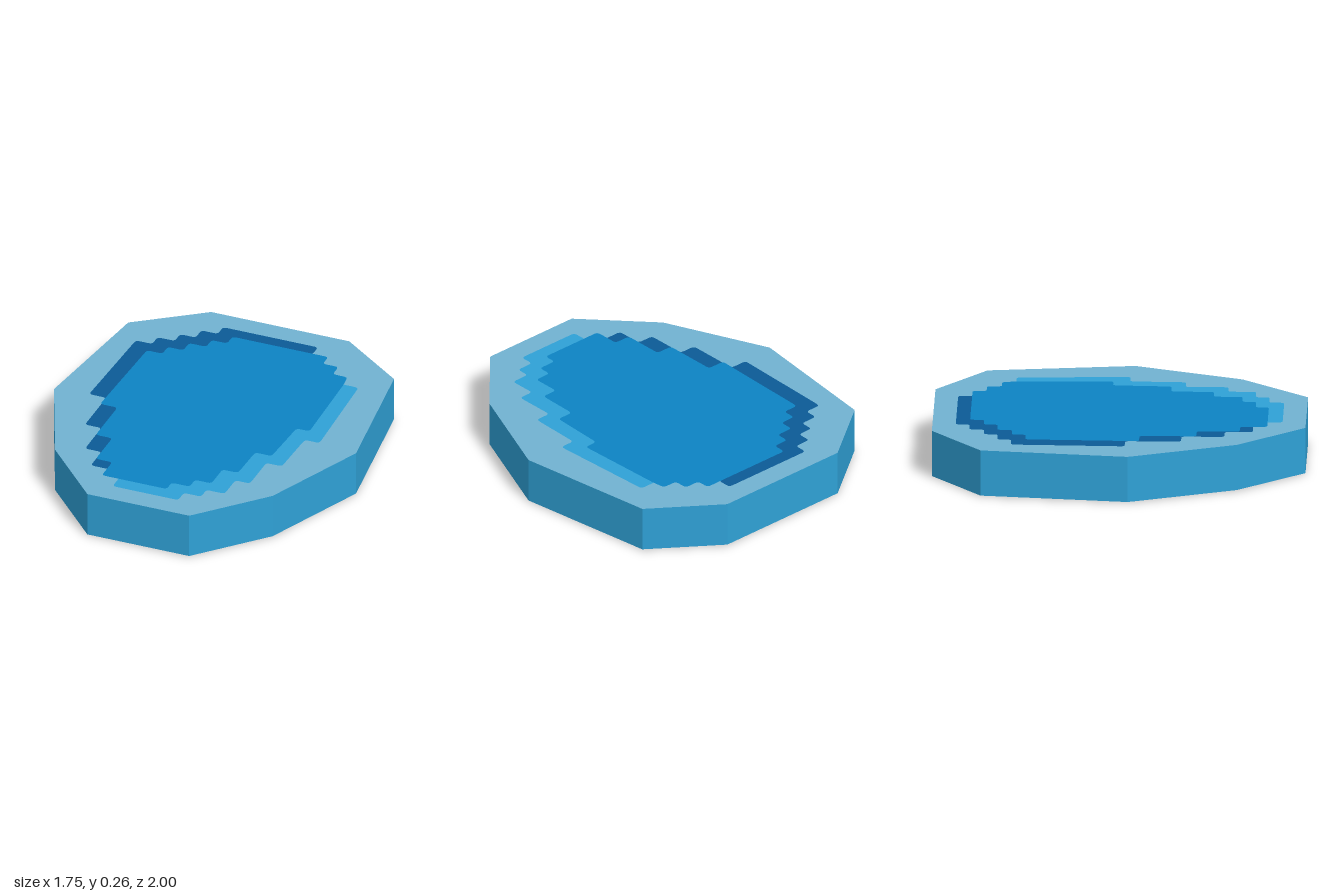
import * as THREE from 'three';

const HEIGHT = 0.26;
const LAYER = 0.002; // step between the stacked face layers

const material = (name, color) => {
  const m = new THREE.MeshStandardMaterial({ color });
  m.name = name;
  return m;
};

// Shape from [x, z] points, with optional softened corners
function makeShape(points, radius = 0) {
  const pts = points.map(([x, z]) => new THREE.Vector2(x, -z));
  if (!radius) return new THREE.Shape(pts);
  const shape = new THREE.Shape();
  pts.forEach((p, i) => {
    const toward = (q) => p.clone().lerp(q, Math.min(0.5, radius / p.distanceTo(q)));
    const a = toward(pts[(i + pts.length - 1) % pts.length]);
    const b = toward(pts[(i + 1) % pts.length]);
    if (i === 0) shape.moveTo(a.x, a.y);
    else shape.lineTo(a.x, a.y);
    shape.quadraticCurveTo(p.x, p.y, b.x, b.y);
  });
  shape.closePath();
  return shape;
}

// Right half of the ten-sided outline, back to front
const HALF = [[0.4, -1], [0.77, -0.73], [0.875, 0.06], [0.63, 0.64], [0.295, 1]];
const OUTLINE = [...HALF, ...HALF.map(([x, z]) => [-x, z]).reverse()];

// Stepped centre field
const CENTRE = [
  [-0.195, -0.8], [0.36, -0.8], [0.36, -0.725], [0.45, -0.725], [0.45, -0.645], [0.535, -0.645],
  [0.545, -0.57], [0.56, -0.05], [0.485, -0.05], [0.47, 0.265], [0.375, 0.265], [0.37, 0.495],
  [0.28, 0.495], [0.28, 0.65], [0.185, 0.65], [0.185, 0.725], [0.08, 0.725], [0.08, 0.795],
  [-0.295, 0.795], [-0.295, 0.65], [-0.39, 0.65], [-0.39, 0.42], [-0.485, 0.42], [-0.485, 0.115],
  [-0.585, 0.115], [-0.565, -0.495], [-0.475, -0.495], [-0.475, -0.57], [-0.385, -0.57],
  [-0.385, -0.65], [-0.285, -0.65], [-0.285, -0.725], [-0.195, -0.725],
];

// Dark bevel steps along the back and right-hand edge; inner part hides under the centre
const DARK = [
  [0.1, -0.6], [0.1, -0.79], [0.27, -0.79], [0.27, -0.875], [-0.28, -0.875], [-0.28, -0.8],
  [-0.375, -0.8], [-0.375, -0.72], [-0.465, -0.72], [-0.465, -0.645], [-0.565, -0.645],
  [-0.565, -0.57], [-0.66, -0.57], [-0.68, 0.04], [-0.58, 0.04], [-0.58, 0.34], [-0.485, 0.34],
  [-0.485, 0.57], [-0.39, 0.57], [-0.39, 0.72], [-0.2, 0.72], [-0.2, 0],
];

// Light bevel steps along the opposite edge and the front
const LIGHT = [
  [0.4, -0.57], [0.63, -0.57], [0.655, 0.04], [0.57, 0.04], [0.56, 0.34], [0.47, 0.34],
  [0.47, 0.57], [0.385, 0.57], [0.385, 0.72], [0.28, 0.72], [0.28, 0.795], [0.18, 0.795],
  [0.18, 0.875], [-0.2, 0.875], [-0.2, 0.75], [0, 0.6],
];

export function createModel() {
  const rim = material('paleRimBlue', 0x71b2d1);
  const side = material('brightBlue', 0x2fa1d6);
  const centre = material('deepBlue', 0x0c83c3);
  const dark = material('navyBlue', 0x0b5a96);

  const model = new THREE.Group();
  model.name = 'facetedSlab';

  // Solid slab: pale caps, bright side walls
  const bodyGeometry = new THREE.ExtrudeGeometry(makeShape(OUTLINE), {
    depth: HEIGHT - 4 * LAYER,
    bevelEnabled: false,
  });
  bodyGeometry.rotateX(-Math.PI / 2);
  const body = new THREE.Mesh(bodyGeometry, [rim, side]);
  body.name = 'slabBody';
  body.position.y = 2 * LAYER;
  model.add(body);

  // Inlaid pattern, repeated on the underside by turning the slab over
  const addPattern = (name) => {
    const pattern = new THREE.Group();
    pattern.name = name;
    const addFace = (label, points, mat, y) => {
      const geometry = new THREE.ShapeGeometry(makeShape(points, 0.022), 4);
      geometry.rotateX(-Math.PI / 2);
      const face = new THREE.Mesh(geometry, mat);
      face.name = label;
      face.position.y = y;
      pattern.add(face);
    };
    addFace('darkSteps', DARK, dark, HEIGHT - LAYER);
    addFace('lightSteps', LIGHT, side, HEIGHT - LAYER);
    addFace('centreField', CENTRE, centre, HEIGHT);
    model.add(pattern);
    return pattern;
  };
  addPattern('topPattern');
  const under = addPattern('bottomPattern');
  under.rotation.z = Math.PI;
  under.position.y = HEIGHT;

  return model;
}
